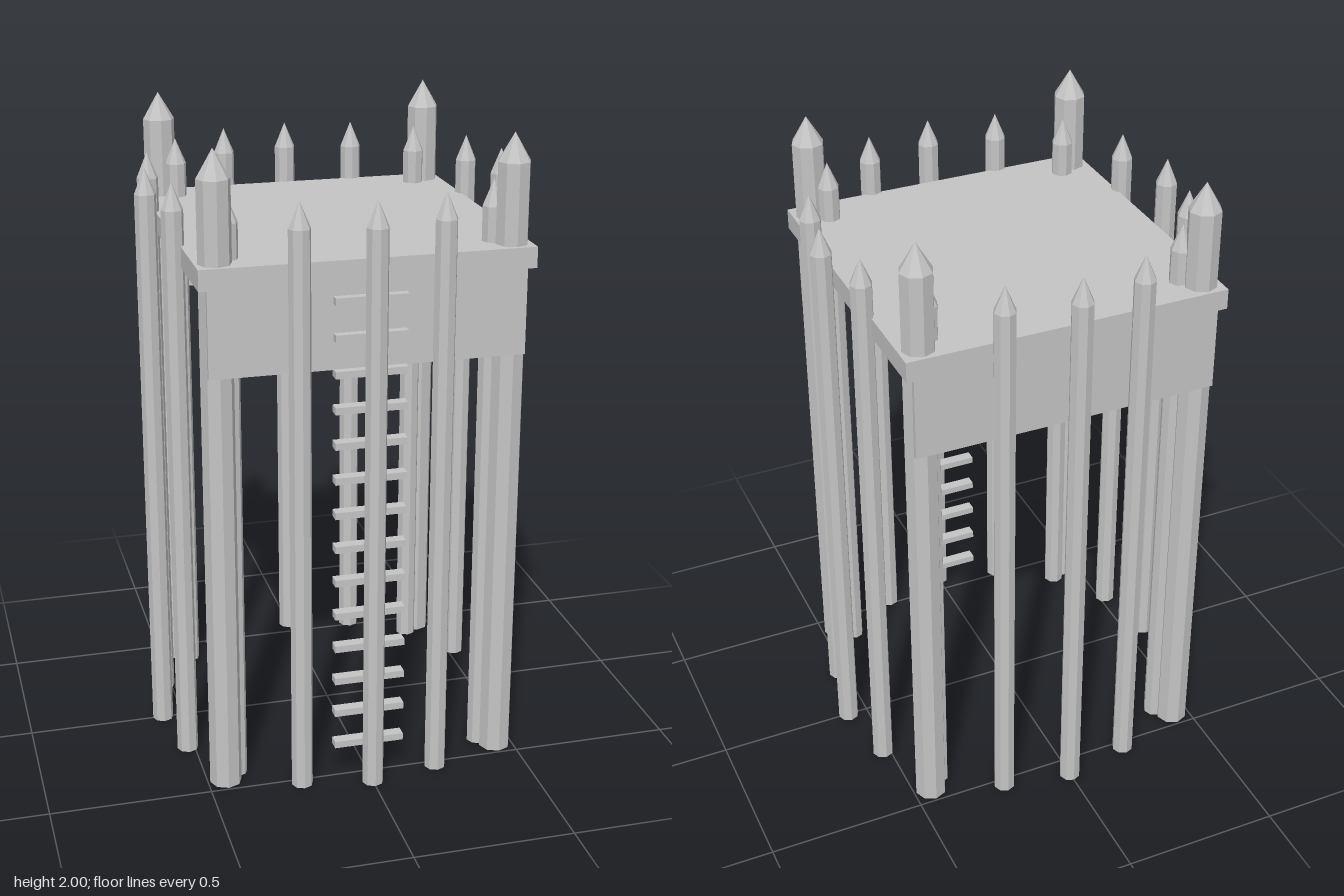
import * as THREE from 'three';

export function createModel() {
  const model = new THREE.Group();
  model.name = 'watchtower';
  const grey = new THREE.MeshStandardMaterial({ color: 0xc4c4c4, flatShading: true });
  grey.name = 'plain grey';

  const box = (name, w, h, d, x, y, z) => {
    const mesh = new THREE.Mesh(new THREE.BoxGeometry(w, h, d), grey);
    mesh.name = name;
    mesh.position.set(x, y, z);
    model.add(mesh);
  };

  // Sharpened log: straight shaft with a pointed tip
  const log = (name, radius, shoulder, tip, x, z) => {
    const group = new THREE.Group();
    group.name = name;
    const shaft = new THREE.Mesh(new THREE.CylinderGeometry(radius, radius, shoulder, 8), grey);
    shaft.name = 'shaft';
    shaft.position.y = shoulder / 2;
    const point = new THREE.Mesh(new THREE.ConeGeometry(radius, tip - shoulder, 8, 1, true), grey);
    point.name = 'point';
    point.position.y = (shoulder + tip) / 2;
    group.add(shaft, point);
    group.position.set(x, 0, z);
    model.add(group);
  };

  // Corner posts
  for (const sx of [-1, 1]) {
    for (const sz of [-1, 1]) log('cornerPost', 0.05, 1.915, 2, sx * 0.443, sz * 0.443);
  }

  // Ring of palisade stakes
  for (let i = 0; i < 16; i++) {
    const a = (i / 16) * Math.PI * 2;
    log('stake', 0.0335, 1.777, 1.857, Math.sin(a) * 0.5645, Math.cos(a) * 0.5645);
  }

  // Platform with a panel below its front and back edges
  box('platform', 1.006, 0.064, 1.006, 0, 1.639, 0);
  for (const s of [-1, 1]) box('skirtPanel', 0.956, 0.266, 0.018, 0, 1.475, s * 0.485);

  // Ladder rungs on the front
  for (let i = 0; i < 14; i++) box('ladderRung', 0.22, 0.022, 0.036, 0, 0.117 + i * 0.1105, 0.502);

  return model;
}
